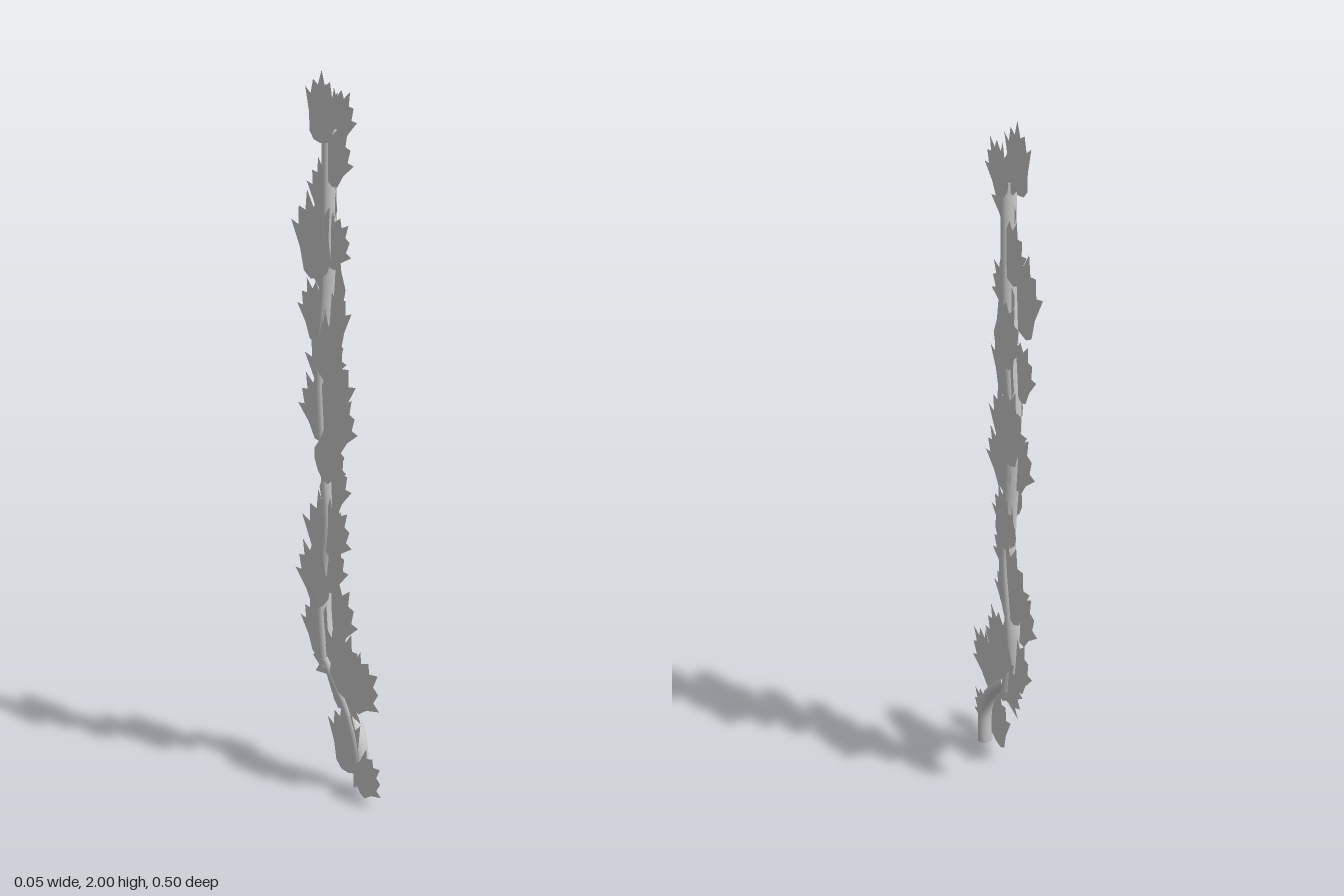
import * as THREE from 'three';

const material = new THREE.MeshStandardMaterial({ color: 0xcccccc, side: THREE.DoubleSide });
const HALF_WIDTH = 0.023;

// Leaf placement: centre across, centre up, pointing direction in degrees, length
const LEAVES = [
  [0.075, 1.90, 92, 0.19], [0.105, 1.885, 40, 0.15], [0.045, 1.875, 125, 0.16],
  [0.01, 1.775, 130, 0.17], [0.12, 1.67, 72, 0.18], [0.125, 1.55, 75, 0.24],
  [0.03, 1.54, 140, 0.16], [0.11, 1.44, 60, 0.2], [0.14, 1.34, 65, 0.18],
  [0.06, 1.33, 105, 0.18], [0.035, 1.24, 130, 0.18], [0.045, 1.14, 110, 0.22],
  [0.125, 1.18, 70, 0.23], [0.125, 1.07, 55, 0.2], [0.03, 1.04, 130, 0.18],
  [0.03, 0.95, 140, 0.18], [0.045, 0.86, 120, 0.18], [0.095, 0.87, 75, 0.16],
  [0.02, 0.73, 135, 0.18], [0.12, 0.69, 75, 0.25], [0.13, 0.58, 55, 0.2],
  [0.055, 0.62, 120, 0.17], [0.055, 0.47, 125, 0.2], [0.13, 0.42, 65, 0.18],
  [0.11, 0.34, 10, 0.18], [-0.05, 0.36, 110, 0.2], [-0.11, 0.31, 145, 0.19],
  [-0.06, 0.29, 170, 0.2], [0.02, 0.34, 60, 0.2], [-0.045, 0.135, 80, 0.2],
  [-0.18, 0.07, 145, 0.15],
];

// Pointed leaf of unit length, narrow at the base, centred on the origin and pointing along +x
function leafGeometry() {
  const half = [[-0.5, 0], [-0.47, 0.22], [-0.36, 0.36], [-0.1, 0.38], [0.26, 0.52],
    [0.17, 0.34], [0.38, 0.27], [0.31, 0.11], [0.53, 0]];
  const mirrored = half.slice(1, -1).reverse().map(([x, y]) => [x, -y]);
  const points = [...half, ...mirrored].map(([x, y]) => new THREE.Vector2(x, y));
  return new THREE.ShapeGeometry(new THREE.Shape(points));
}

// Capped stem, built round and then widened into an oval
function createStem(name, radius, path) {
  const stem = new THREE.Group();
  stem.name = name;
  const curve = new THREE.CatmullRomCurve3(path.map(([u, y]) => new THREE.Vector3(u, y, 0)));
  const tube = new THREE.Mesh(new THREE.TubeGeometry(curve, 28, radius, 14), material);
  tube.name = name + 'Bark';
  stem.add(tube);
  for (const t of [0, 1]) {
    const cap = new THREE.Mesh(new THREE.CircleGeometry(radius, 14), material);
    cap.name = name + 'End';
    cap.position.copy(curve.getPointAt(t));
    const outward = curve.getTangentAt(t).multiplyScalar(t ? 1 : -1);
    cap.quaternion.setFromUnitVectors(new THREE.Vector3(0, 0, 1), outward);
    stem.add(cap);
  }
  stem.scale.z = HALF_WIDTH / radius;
  return stem;
}

export function createModel() {
  const model = new THREE.Group();
  model.name = 'leafyVine';

  // Plane of growth: local x runs towards the back, local z across the model
  const vine = new THREE.Group();
  vine.name = 'vine';
  vine.rotation.y = Math.PI / 2;
  model.add(vine);

  vine.add(createStem('lowerStem', 0.016,
    [[-0.106, 0.012], [-0.1, 0.13], [-0.055, 0.215], [0.0, 0.27], [0.075, 0.335]]));
  vine.add(createStem('upperStem', 0.014,
    [[0.078, 0.31], [0.105, 0.52], [0.07, 0.77], [0.1, 1.05], [0.108, 1.2], [0.075, 1.5], [0.068, 1.84]]));

  // Flat leaves in layers through the stem; the lowest ones lie along its right side
  const geometry = leafGeometry();
  LEAVES.forEach(([u, y, degrees, length], i) => {
    const layer = ((i * 7) % 5 - 2) * 0.0105 + (i % 3 - 1) * 0.001;
    const leaf = new THREE.Mesh(geometry, material);
    leaf.name = 'leaf';
    leaf.position.set(u, y, y < 0.3 ? -0.018 + layer * 0.2 : layer);
    leaf.rotation.z = THREE.MathUtils.degToRad(degrees);
    leaf.scale.set(length, length * 0.9, 1);
    vine.add(leaf);
  });
  return model;
}
